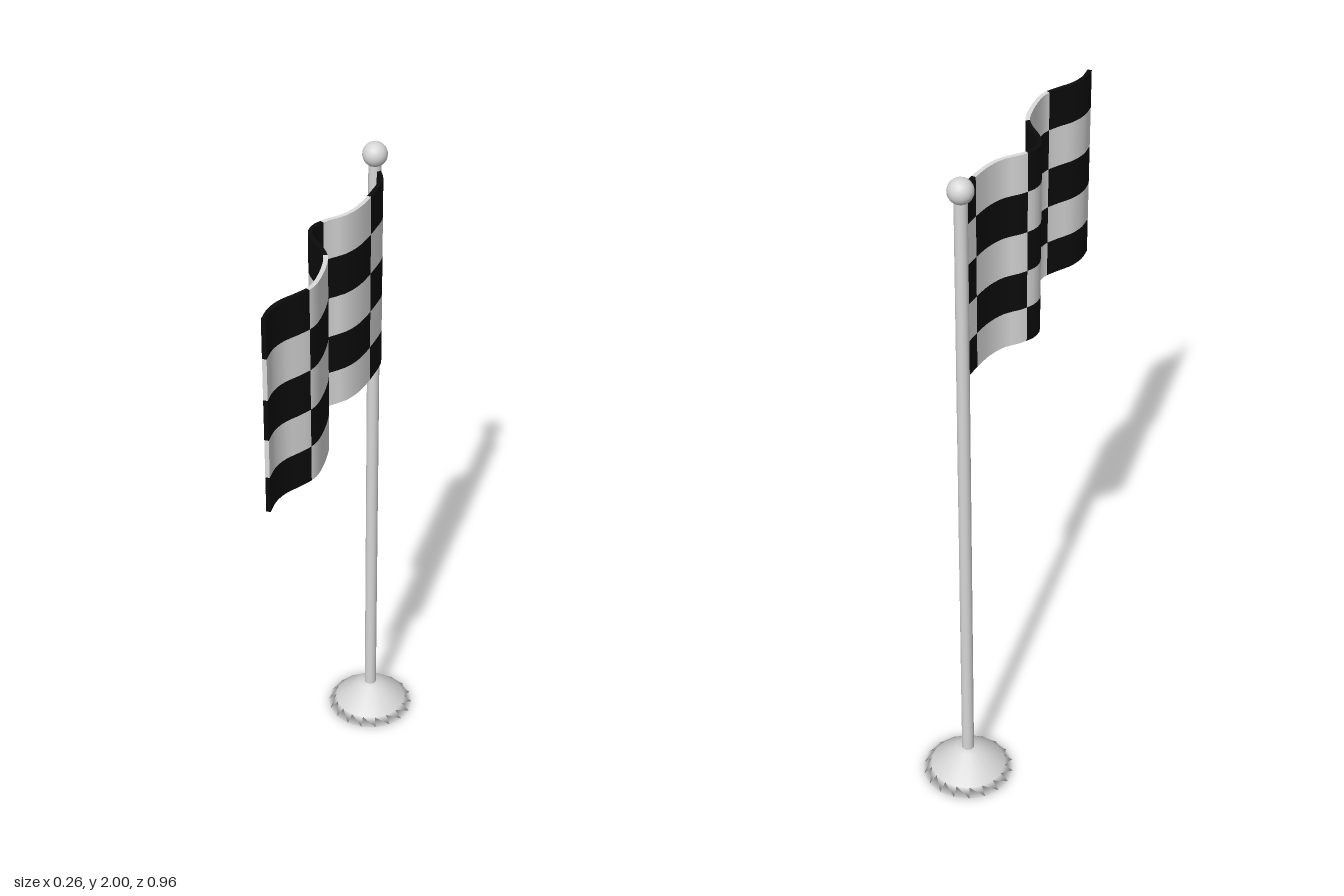
import * as THREE from 'three';

const material = (name, color) => Object.assign(new THREE.MeshStandardMaterial({ color }), { name });
const grey = material('light grey', 0xd6d6d6);
const white = material('flag white', 0xdcdcdc);
const black = material('flag black', 0x0c0c0c);

const POLE_Z = -0.347;

// Plan of the waving cloth as [x, z], from pole to free end
const wave = new THREE.CatmullRomCurve3([
  [0.008, -0.345], [0.02, -0.322], [0.03, -0.285], [0.024, -0.224], [0.003, -0.127],
  [-0.023, -0.076], [-0.062, -0.038], [-0.086, -0.002], [-0.089, 0.033], [-0.071, 0.071],
  [-0.041, 0.11], [-0.02, 0.15], [-0.012, 0.237], [-0.02, 0.305], [-0.043, 0.343],
  [-0.078, 0.39], [-0.094, 0.433], [-0.097, 0.481],
].map(([x, z]) => new THREE.Vector3(x, 0, z)));

// Edges of the checks along the cloth and up it
const columns = [-0.345, -0.19, -0.026, 0.143, 0.318, 0.481];
const rows = [1.342, 1.45, 1.565, 1.685, 1.806, 1.92];

// Position in a list of edges, for u from 0 to 1
function between(edges, u) {
  const s = u * (edges.length - 1);
  const i = Math.min(Math.floor(s + 1e-6), edges.length - 2);
  return THREE.MathUtils.lerp(edges[i], edges[i + 1], s - i);
}

// Curve parameter where the cloth reaches a given z
function waveAt(z) {
  let low = 0, high = 1;
  for (let i = 0; i < 24; i++) {
    const mid = (low + high) / 2;
    if (wave.getPoint(mid).z < z) low = mid; else high = mid;
  }
  return (low + high) / 2;
}

// Thin slab bent along the wave, its faces sorted by check colour
function flagGeometry() {
  const geometry = new THREE.BoxGeometry(0.012, 1, 1, 1, 5, 50);
  const pos = geometry.attributes.position;
  const nor = geometry.attributes.normal;

  const checks = [[], []];
  const index = geometry.index.array;
  for (let i = 0; i < index.length; i += 6) {
    const quad = Array.from(index.slice(i, i + 6));
    const cell = (get) => {
      const centre = quad.reduce((sum, v) => sum + get(v), 0) / 6 + 0.5;
      return THREE.MathUtils.clamp(Math.floor(centre * 5), 0, 4);
    };
    const parity = (cell((v) => pos.getY(v)) + cell((v) => pos.getZ(v))) % 2;
    checks[parity].push(...quad);
  }
  geometry.setIndex([...checks[0], ...checks[1]]);
  geometry.clearGroups();
  geometry.addGroup(0, checks[0].length, 0);
  geometry.addGroup(checks[0].length, checks[1].length, 1);

  for (let i = 0; i < pos.count; i++) {
    const t = waveAt(between(columns, pos.getZ(i) + 0.5));
    const p = wave.getPoint(t);
    const along = wave.getTangent(t);
    const out = new THREE.Vector3(along.z, 0, -along.x);
    p.addScaledVector(out, pos.getX(i));
    pos.setXYZ(i, p.x, between(rows, pos.getY(i) + 0.5), p.z);
    const n = out.multiplyScalar(nor.getX(i)).addScaledVector(along, nor.getZ(i));
    nor.setXYZ(i, n.x, nor.getY(i), n.z);
  }
  return geometry;
}

export function createModel() {
  const model = new THREE.Group();
  model.name = 'checkeredFlag';
  const add = (name, geometry, mat, y, z) => {
    const mesh = new THREE.Mesh(geometry, mat);
    mesh.name = name;
    mesh.position.set(0, y, z);
    model.add(mesh);
  };

  // Conical foot with a softly shaded rim
  const profile = [[0, 0], [0.134, 0], [0.11, 0.021], [0.037, 0.085], [0, 0.085]]
    .map(([r, y]) => new THREE.Vector2(r, y));
  add('base', new THREE.LatheGeometry(profile, 18), grey, 0, POLE_Z);

  // Pole and ball finial
  add('pole', new THREE.CylinderGeometry(0.018, 0.018, 1.87, 18), grey, 1.015, POLE_Z);
  add('finial', new THREE.SphereGeometry(0.035, 24, 16), grey, 1.965, POLE_Z);

  // Waving cloth
  add('flag', flagGeometry(), [black, white], 0, 0);
  return model;
}
